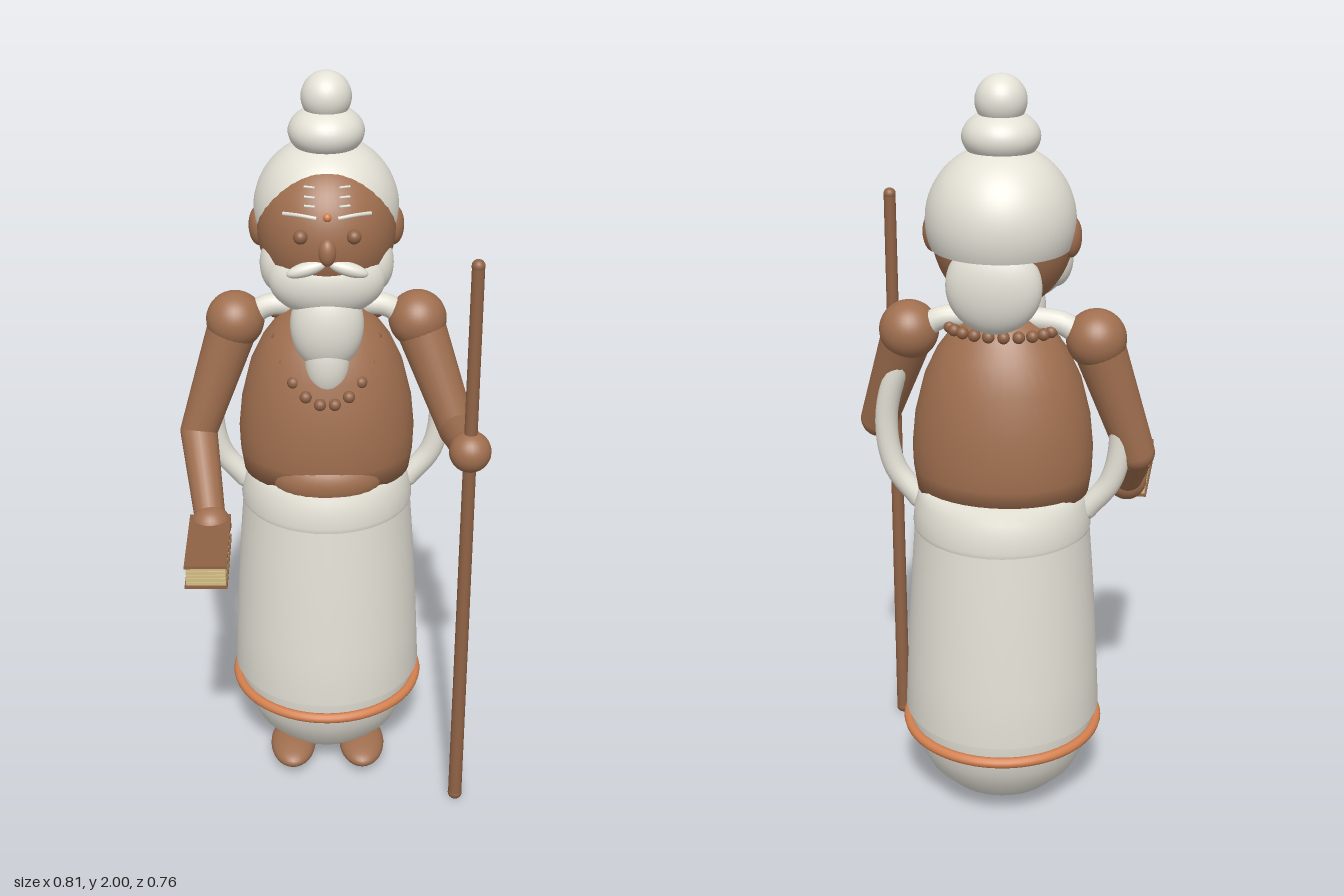
import * as THREE from 'three';

const mat = (name, color, extra = {}) => Object.assign(new THREE.MeshStandardMaterial({ color, ...extra }), { name });

export function createModel() {
  const skin = mat('skin', 0xa06f4f);
  const white = mat('white cloth and hair', 0xe4e1d6, { side: THREE.DoubleSide });
  const wood = mat('wood', 0x8f6245);
  const orange = mat('orange trim', 0xd4804f);
  const paper = mat('paper', 0xd2bd86);

  const root = new THREE.Group();
  root.name = 'sage';
  const body = new THREE.Group();
  body.name = 'figure';
  body.position.set(-0.026, 0, -0.11);
  root.add(body);

  const V = (p) => new THREE.Vector3(...p);
  const add = (name, geo, material, pos = [0, 0, 0]) => {
    const m = new THREE.Mesh(geo, material);
    m.name = name;
    m.position.set(...pos);
    body.add(m);
    return m;
  };
  const ball = (name, material, pos, r, segs = 32) => {
    const m = add(name, new THREE.SphereGeometry(1, segs, segs * 0.75), material, pos);
    if (Array.isArray(r)) m.scale.set(...r); else m.scale.setScalar(r);
    return m;
  };
  const lathe = (name, material, pts) =>
    add(name, new THREE.LatheGeometry(pts.map((p) => new THREE.Vector2(...p)), 40), material);
  const limb = (name, a, b, ra, rb, material = skin) => {
    const d = V(b).sub(V(a));
    const m = add(name, new THREE.CylinderGeometry(rb, ra, d.length(), 24), material);
    m.position.copy(V(a)).addScaledVector(d, 0.5);
    m.quaternion.setFromUnitVectors(new THREE.Vector3(0, 1, 0), d.normalize());
    return m;
  };

  // Robe: rounded underside, long skirt, waist wrap and trimmed hem
  lathe('robeUnderside', white, [[0, 0.022], [0.1, 0.026], [0.155, 0.06], [0.205, 0.11], [0.238, 0.175], [0.252, 0.23], [0.256, 0.285]]);
  lathe('skirt', white, [[0.256, 0.28], [0.266, 0.28], [0.259, 0.42], [0.251, 0.57], [0.24, 0.72], [0.232, 0.82]]);
  lathe('waistWrap', white, [[0.232, 0.815], [0.236, 0.83], [0.232, 0.87], [0.223, 0.905], [0.208, 0.935], [0, 0.94]]).scale.z = 0.97;
  add('hemTrim', new THREE.TorusGeometry(0.26, 0.014, 12, 56), orange, [0, 0.234, 0]).rotation.x = Math.PI / 2;

  // Torso, belly and neck
  const torso = lathe('torso', skin, [[0, 0.92], [0.226, 0.92], [0.235, 0.98], [0.237, 1.04], [0.228, 1.13], [0.203, 1.23], [0.17, 1.3], [0.13, 1.355], [0.08, 1.4], [0, 1.42]]);
  torso.scale.z = 0.81;
  torso.position.z = 0.01;
  ball('belly', skin, [0, 0.94, 0.105], [0.16, 0.09, 0.108]);
  limb('neck', [0, 1.34, 0.012], [0, 1.54, 0.012], 0.08, 0.08);

  // Head, cap of hair, topknot and nape hair
  const headC = [0, 1.61, 0.015], headR = [0.178, 0.2, 0.185];
  const faceZ = (x, y) => headC[2] + headR[2] * Math.sqrt(1 - (x / headR[0]) ** 2 - ((y - headC[1]) / headR[1]) ** 2);
  ball('head', skin, headC, headR, 48);
  add('hairCap', new THREE.SphereGeometry(0.187, 48, 32, 0, Math.PI * 2, 0, Math.PI * 0.62), white, [0, 1.647, -0.018]);
  ball('lowerTopknot', white, [0, 1.85, -0.01], [0.097, 0.066, 0.097]);
  ball('upperTopknot', white, [0, 1.936, -0.012], 0.064);
  ball('napeHair', white, [0, 1.505, -0.125], [0.12, 0.12, 0.06]);

  // Face centre and beard
  ball('nose', skin, [0, 1.603, 0.2], [0.022, 0.035, 0.022], 24);
  ball('foreheadMark', orange, [0, 1.69, faceZ(0, 1.69) + 0.004], 0.011, 16);
  ball('chinBeard', white, [0, 1.5, 0.105], [0.15, 0.1, 0.088]);
  ball('middleBeard', white, [0, 1.38, 0.125], [0.095, 0.125, 0.072]);
  ball('beardTip', white, [0, 1.285, 0.138], [0.058, 0.1, 0.05]);

  for (const s of [-1, 1]) {
    const side = s > 0 ? 'left' : 'right';
    ball(side + 'Ear', skin, [s * 0.172, 1.605, 0], [0.028, 0.053, 0.037], 24);
    ball(side + 'Eye', wood, [s * 0.066, 1.64, faceZ(0.066, 1.64) + 0.004], 0.018, 20);
    ball(side + 'CheekBeard', white, [s * 0.125, 1.53, 0.073], [0.046, 0.075, 0.053]);
    ball(side + 'Moustache', white, [s * 0.052, 1.556, 0.188], [0.052, 0.018, 0.02], 24).rotation.z = -s * 0.3;

    // Brow and three short forehead stripes
    const arc = [0.026, 0.068, 0.108].map((x, i) => V([s * x, 1.686 + (i === 1 ? 0.004 : 0), faceZ(x, 1.688) + 0.002]));
    add(side + 'Brow', new THREE.TubeGeometry(new THREE.CatmullRomCurve3(arc), 10, 0.005, 8), white);
    for (const y of [1.712, 1.731, 1.751]) {
      const ends = [0.03, 0.056].map((x) => V([s * x, y, faceZ(x, y) + 0.002]));
      add(side + 'ForeheadStripe', new THREE.TubeGeometry(new THREE.LineCurve3(...ends), 1, 0.0035, 6), white);
    }

    // Shawl end draped over the shoulder
    const drape = [[0.07, 1.39, 0], [0.17, 1.375, -0.005], [0.265, 1.25, -0.005], [0.308, 1.1, 0.003], [0.288, 0.96, 0.003], [0.225, 0.875, 0.003]];
    const path = new THREE.CatmullRomCurve3(drape.map(([x, y, z]) => V([s * x, y, z])));
    add(side + 'Shawl', new THREE.TubeGeometry(path, 40, 0.03, 16), white);
    ball(side + 'ShawlEnd', white, [s * 0.225, 0.875, 0.003], 0.03, 20);

    // Foot
    ball(side + 'Foot', skin, [s * 0.1, 0.047, 0.12], [0.065, 0.036, 0.112]);

    // Arm
    const shoulder = [s * 0.241, 1.344, 0];
    const elbow = s > 0 ? [0.348, 1.06, 0.088] : [-0.347, 1.03, 0.03];
    const hand = s > 0 ? [0.36, 1.115, 0.325] : [-0.309, 0.857, 0.243];
    ball(side + 'Shoulder', skin, shoulder, 0.077);
    limb(side + 'UpperArm', shoulder, elbow, 0.068, 0.05);
    ball(side + 'Elbow', skin, elbow, 0.05, 24);
    limb(side + 'Forearm', elbow, hand, 0.05, 0.04);
    ball(side + 'Hand', skin, hand, 0.054, 24);
  }

  // Bead necklace, dipping over the chest
  for (let i = 0; i < 22; i++) {
    const a = ((i + 0.5) / 22) * Math.PI * 2, c = Math.cos(a);
    ball('necklaceBead', wood, [0.135 * Math.sin(a), 1.365 - 0.18 * Math.max(0, c), c > 0 ? 0.2 * c : 0.095 * c], 0.016, 14);
  }

  // Staff with rounded ends
  limb('staff', [0.36, 0.025, 0.325], [0.36, 1.615, 0.325], 0.019, 0.016, wood);
  ball('staffTop', wood, [0.36, 1.615, 0.325], 0.017, 16);
  ball('staffFoot', wood, [0.36, 0.022, 0.325], 0.02, 16);

  // Leaf manuscript between two covers
  for (const y of [0.819, 0.878]) add('bookCover', new THREE.BoxGeometry(0.108, 0.008, 0.262), wood, [-0.31, y, 0.36]);
  for (let i = 0; i < 5; i++) {
    add('bookLeaf', new THREE.BoxGeometry(0.1, 0.0085, 0.254), paper, [-0.31, 0.8275 + i * 0.0105, 0.36]);
  }
  return root;
}
